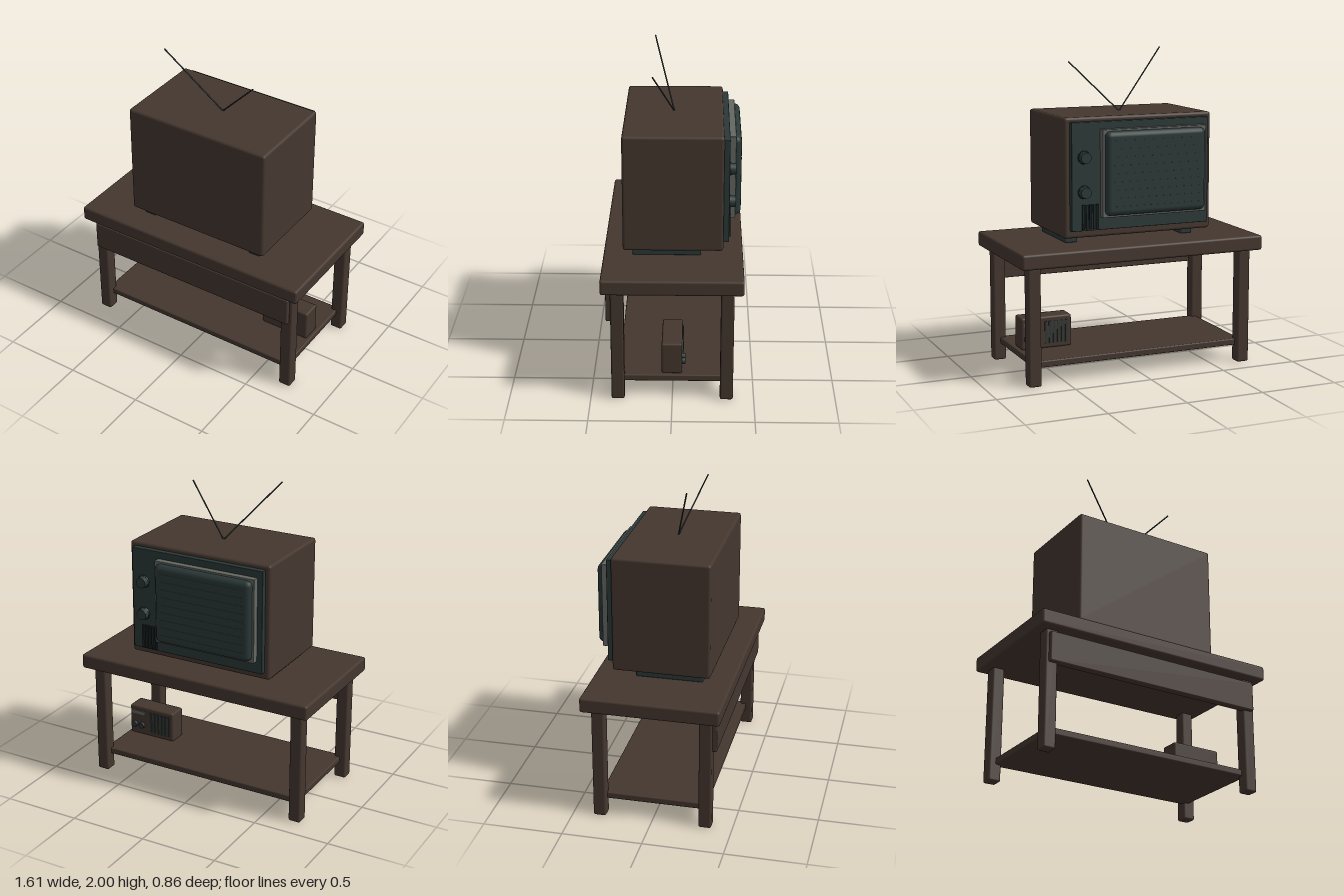
import * as THREE from 'three';
import { RoundedBoxGeometry } from 'three/addons/geometries/RoundedBoxGeometry.js';

const material = (name, color) => {
  const m = new THREE.MeshStandardMaterial({ color });
  m.name = name;
  return m;
};

export function createModel() {
  const wood = material('brown wood', 0x45372f);
  const dark = material('dark plastic', 0x2b3938);
  const grey = material('grey trim', 0x646862);
  const black = material('black slots', 0x1b2424);

  const model = new THREE.Group();
  const group = (name) => {
    const g = new THREE.Group();
    g.name = name;
    model.add(g);
    return g;
  };
  const add = (parent, name, geometry, mat) => {
    const mesh = new THREE.Mesh(geometry, mat);
    mesh.name = name;
    parent.add(mesh);
    return mesh;
  };
  // Soft-edged box given by its limits on each axis
  const box = (parent, name, mat, [x0, x1], [y0, y1], [z0, z1], r = 0.012) => {
    const geo = r > 0
      ? new RoundedBoxGeometry(x1 - x0, y1 - y0, z1 - z0, 2, r)
      : new THREE.BoxGeometry(x1 - x0, y1 - y0, z1 - z0);
    const mesh = add(parent, name, geo, mat);
    mesh.position.set((x0 + x1) / 2, (y0 + y1) / 2, (z0 + z1) / 2);
    return mesh;
  };
  // Round control whose axis runs along z
  const knob = (parent, name, mat, x, y, zBack, zFront, r) => {
    const geo = new THREE.CylinderGeometry(r, r * 0.9, zBack - zFront, 20);
    geo.rotateX(Math.PI / 2);
    const mesh = add(parent, name, geo, mat);
    mesh.position.set(x, y, (zBack + zFront) / 2);
  };

  // Table with four legs, shelf and drawer
  const table = group('table');
  box(table, 'tableTop', wood, [-0.803, 0.803], [0.735, 0.83], [-0.428, 0.428], 0.015);
  for (const sx of [-1, 1]) for (const sz of [-1, 1]) {
    const leg = box(table, 'leg', wood, [0.667, 0.747], [0, 0.735], [0.292, 0.372]);
    leg.position.x *= sx;
    leg.position.z *= sz;
  }
  box(table, 'shelf', wood, [-0.705, 0.705], [0.105, 0.147], [-0.33, 0.33], 0.008);
  box(table, 'drawerFront', wood, [-0.728, 0.728], [0.525, 0.712], [0.345, 0.4], 0.008);

  // Television, its screen on the -z side
  const tv = group('television');
  box(tv, 'cabinet', wood, [-0.488, 0.488], [0.882, 1.617], [-0.305, 0.305], 0.017);
  for (const s of [-1, 1]) {
    const foot = box(tv, 'foot', dark, [0.353, 0.432], [0.83, 0.89], [-0.17, 0.25], 0.008);
    foot.position.x *= s;
  }
  box(tv, 'facePanel', dark, [-0.455, 0.455], [0.93, 1.59], [-0.34, -0.295], 0.004);
  box(tv, 'screenFrame', grey, [-0.42, 0.27], [1.008, 1.545], [-0.38, -0.335], 0.004);
  box(tv, 'screen', dark, [-0.407, 0.257], [1.02, 1.533], [-0.414, -0.335], 0.034);
  // Fine raised scan lines on the glass
  for (let i = 0; i < 9; i++) {
    const y = 1.077 + i * 0.05;
    box(tv, 'scanLine', dark, [-0.36, 0.21], [y - 0.002, y + 0.002], [-0.4155, -0.41], 0);
  }
  for (const y of [1.167, 1.378]) {
    knob(tv, 'dialRing', black, 0.375, y, -0.338, -0.348, 0.042);
    knob(tv, 'dial', dark, 0.375, y, -0.345, -0.378, 0.037);
  }
  for (let i = 0; i < 5; i++) {
    const x = 0.29 + i * 0.023;
    box(tv, 'speakerSlot', black, [x - 0.007, x + 0.007], [0.94, 1.09], [-0.349, -0.339], 0);
  }

  // Pair of antenna rods
  const base = new THREE.Vector3(0, 1.612, 0);
  for (const tip of [new THREE.Vector3(-0.337, 1.998, 0.125), new THREE.Vector3(0.29, 1.92, 0.125)]) {
    const path = new THREE.LineCurve3(base, tip);
    add(tv, 'antenna', new THREE.TubeGeometry(path, 1, 0.0045, 8, false), dark).material.side = THREE.DoubleSide;
  }

  // Small radio on the shelf, also facing -z
  const radio = group('radio');
  box(radio, 'radioBody', wood, [0.353, 0.685], [0.147, 0.35], [-0.06, 0.066]);
  box(radio, 'tuningStrip', grey, [0.565, 0.667], [0.295, 0.318], [-0.067, -0.058], 0);
  for (const x of [0.592, 0.648]) knob(radio, 'radioKnob', dark, x, 0.217, -0.058, -0.08, 0.021);
  for (let i = 0; i < 6; i++) {
    const x = 0.39 + i * 0.027;
    box(radio, 'grilleBar', dark, [x - 0.007, x + 0.007], [0.178, 0.32], [-0.067, -0.058], 0);
  }

  return model;
}
